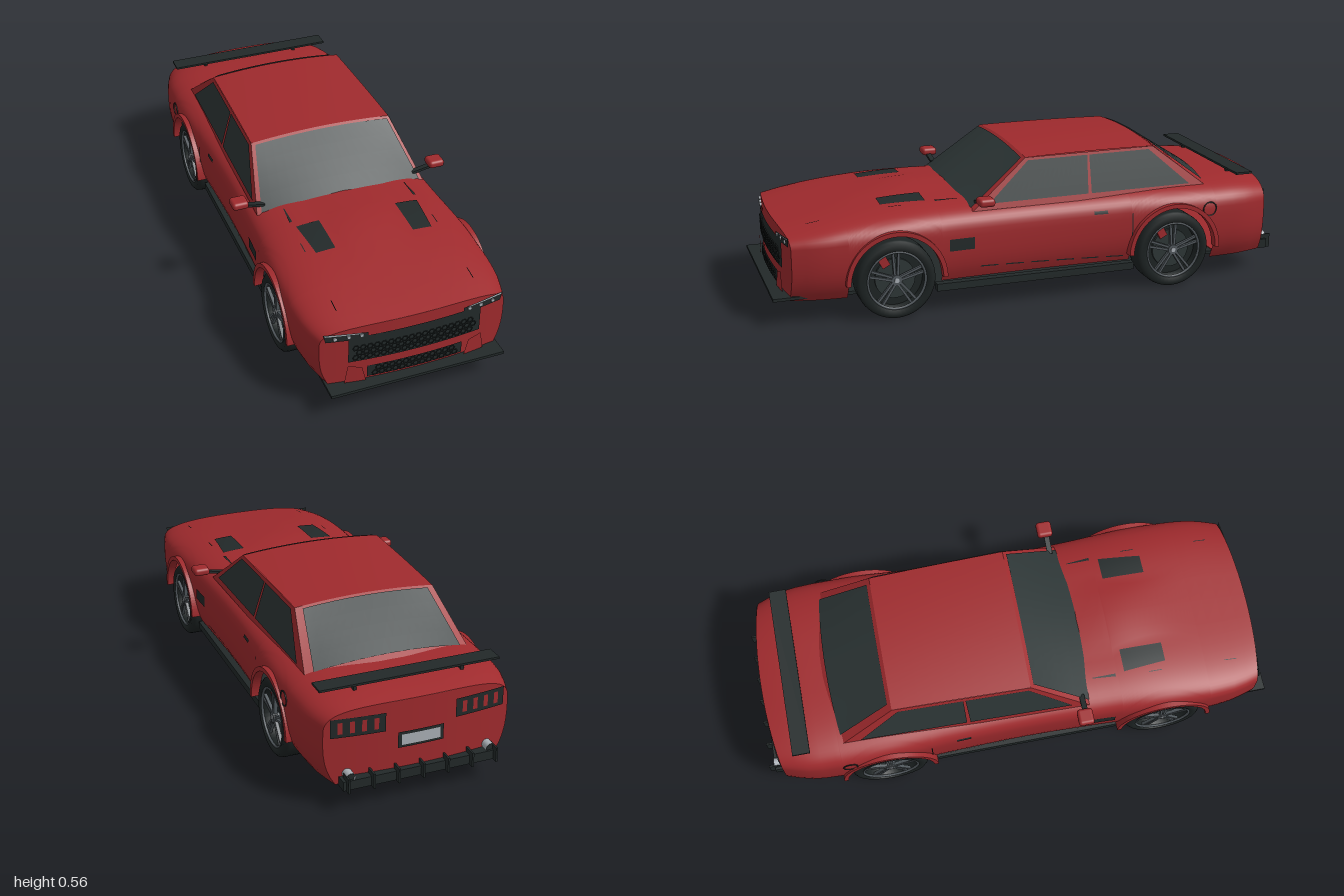
import * as THREE from 'three';
import { RoundedBoxGeometry } from 'three/addons/geometries/RoundedBoxGeometry.js';

const mat = (name, color) => Object.assign(new THREE.MeshStandardMaterial({ color, side: THREE.DoubleSide }), { name });
const red = mat('body red', 0x9f2a2d), glass = mat('dark glass', 0x2d3636), trim = mat('black trim', 0x222929),
  rubber = mat('tyre rubber', 0x1d2323), alloy = mat('grey alloy', 0x51585d), silver = mat('silver', 0xaab0b6);

const { lerp, clamp } = THREE.MathUtils;
const WHEELS = [0.56, -0.53], AXLE = 0.147, ARCH = 0.172, N = 3.5, MID = 0.27;

// smooth curve through [z, value] pairs
function curve(pairs) {
  const c = new THREE.CubicInterpolant(pairs.map(p => p[0]), pairs.map(p => p[1]), 1);
  return z => c.evaluate(clamp(z, -0.96, 0.96))[0];
}
const width = curve([[-0.96, 0.345], [-0.85, 0.375], [-0.6, 0.385], [-0.3, 0.37], [0, 0.363], [0.3, 0.37], [0.6, 0.384], [0.85, 0.372], [0.96, 0.345]]);
const crest = curve([[-0.96, 0.375], [-0.88, 0.39], [-0.7, 0.4], [0, 0.4], [0.25, 0.4], [0.48, 0.4], [0.65, 0.388], [0.85, 0.362], [0.96, 0.345]]);

// body surface rules: half width at a height, height at an x, rounded ends, lower edge
function sideX(y, z) {
  const w = width(z);
  if (y < MID) return w * (1 - 0.12 * ((MID - y) / 0.18) ** 3);
  return w * (1 - Math.min(1, (y - MID) / (crest(z) - MID)) ** N) ** (1 / N);
}
const bulge = (x, z) => 0.013 * Math.exp(-((x / 0.1) ** 4)) * Math.exp(-(((z - 0.42) / 0.18) ** 2));
const topY = (x, z) => MID + (crest(z) - MID) * (1 - Math.min(1, Math.abs(x) / width(z)) ** N) ** (1 / N) + bulge(x, z);
const bendZ = (x, z) => z - Math.sign(z) * 0.03 * (x / 0.35) ** 2 * clamp((Math.abs(z) - 0.8) / 0.16, 0, 1);
function lowerY(z) {
  for (const c of WHEELS) if (Math.abs(z - c) <= ARCH + 1e-6) return AXLE + Math.sqrt(Math.max(0, ARCH ** 2 - (z - c) ** 2));
  return z < 0.5 && z > -0.5 ? 0.118 : 0.088;
}
function halfSection(z) {
  const yb = lowerY(z), T = crest(z), yM = yb + 0.6 * (T - yb), pts = [];
  for (let i = 0; i < 7; i++) { const y = lerp(yb, yM, i / 6); pts.push([sideX(y, z), y]); }
  const a0 = Math.asin(Math.max(0, (yM - MID) / (T - MID)) ** (N / 2));
  for (let i = 1; i <= 16; i++) {
    const a = lerp(a0, Math.PI / 2, i / 16), x = width(z) * Math.max(0, Math.cos(a)) ** (2 / N);
    pts.push([x, topY(x, z)]);
  }
  return pts;
}

// grid surface from fn(u, v) -> [x, y, z]
function grid(fn, nu, nv) {
  const pos = [], idx = [];
  for (let j = 0; j <= nv; j++) for (let i = 0; i <= nu; i++) pos.push(...fn(i / nu, j / nv));
  for (let j = 0; j < nv; j++) for (let i = 0; i < nu; i++) {
    const a = j * (nu + 1) + i, b = a + nu + 1;
    idx.push(a, a + 1, b, b, a + 1, b + 1);
  }
  const g = new THREE.BufferGeometry();
  g.setAttribute('position', new THREE.Float32BufferAttribute(pos, 3));
  g.setIndex(idx);
  g.computeVertexNormals();
  return g;
}

export function createModel() {
  const car = new THREE.Group();
  car.name = 'sports coupe';
  const add = (name, geo, m, x = 0, y = 0, z = 0, parent = car) => {
    const mesh = new THREE.Mesh(geo, m);
    mesh.name = name;
    mesh.position.set(x, y, z);
    parent.add(mesh);
    return mesh;
  };
  const box = (name, m, w, h, d, x, y, z, parent) => add(name, new THREE.BoxGeometry(w, h, d), m, x, y, z, parent);
  // thin plates on the nose or tail (four corners), the flank and the bonnet
  const endPlate = (name, m, c, end, off = 0.004) => add(name, grid((u, v) => {
    const x = lerp(lerp(c[0][0], c[1][0], u), lerp(c[3][0], c[2][0], u), v);
    const y = lerp(lerp(c[0][1], c[1][1], u), lerp(c[3][1], c[2][1], u), v);
    return [x, y, bendZ(x, 0.96 * end) + off * end];
  }, 12, 1), m);
  const rect = (x0, x1, y0, y1) => [[x0, y0], [x1, y0], [x1, y1], [x0, y1]];
  const flankPlate = (name, m, s, z0, z1, y0, y1, slope = 0) => add(name, grid((u, v) => {
    const z = lerp(z0, z1, u), y = lerp(y0, y1, v) + slope * u;
    return [s * (sideX(y, z) + 0.003), y, z];
  }, 6, 4), m);
  const bonnetPlate = (name, m, x0, x1, z0, z1, skew = 0) => add(name, grid((u, v) => {
    const z = lerp(z0, z1, v), x = lerp(x0 + skew * v, x1, u);
    return [x, topY(x, z) + 0.003, z];
  }, 4, 8), m);

  // body shell with open wheel arches
  const stations = [];
  for (let i = -16; i <= 16; i++) {
    const z = i * 0.06;
    if (WHEELS.every(c => Math.abs(z - c) > ARCH + 0.01)) stations.push(z);
  }
  for (const c of WHEELS) {
    for (let k = 0; k <= 24; k++) stations.push(c + ARCH * Math.cos(k * Math.PI / 24));
    stations.push(c + ARCH + 0.002, c - ARCH - 0.002);
  }
  stations.sort((a, b) => a - b);
  const rings = stations.map(z => {
    const h = halfSection(z);
    return [...h, ...h.slice(0, -1).reverse().map(([x, y]) => [-x, y])].map(([x, y]) => [x, y, bendZ(x, z)]);
  });
  const nu = rings[0].length - 1, nv = rings.length - 1;
  add('body shell', grid((u, v) => rings[Math.round(v * nv)][Math.round(u * nu)], nu, nv), red);
  for (const end of [1, -1]) {
    const h = halfSection(0.96 * end);
    add(end > 0 ? 'nose' : 'tail', grid((u, v) => {
      const [px, y] = h[Math.round(v * (h.length - 1))], x = px * (2 * u - 1);
      return [x, y, bendZ(x, 0.96 * end)];
    }, 16, h.length - 1), red);
  }
  box('floor', trim, 0.56, 0.012, 1.78, 0, 0.084, 0);
  box('front valance', red, 0.5, 0.022, 0.14, 0, 0.09, 0.87);
  box('rear undertray', red, 0.58, 0.012, 0.18, 0, 0.087, -0.84);

  // cabin surfaces
  const screen = (zb, zt, xb, xt) => (u, v) => {
    const s = 2 * u - 1, k = 1 - s * s;
    return [s * lerp(xb, xt, v), lerp(0.365, 0.537, v) + k * lerp(0.035, 0.015, v), lerp(zb, zt, v) + Math.sign(zb) * k * 0.02 * (1 - v)];
  };
  const front = screen(0.26, 0.04, 0.335, 0.28), rear = screen(-0.7, -0.48, 0.315, 0.268);
  const roof = (u, v) => {
    const s = 2 * u - 1;
    return [s * lerp(0.28, 0.268, v), 0.537 + 0.015 * (1 - s * s) + 0.012 * v * (1 - v), lerp(0.04, -0.48, v)];
  };
  const side = s => (u, v) => [s * lerp(lerp(0.335, 0.315, u), lerp(0.28, 0.268, u), v), lerp(0.365, 0.537, v),
    lerp(lerp(0.26, -0.7, u), lerp(0.04, -0.48, u), v)];
  const pane = (name, fn, u0, u1, v0, v1, off) => add(name, grid((u, v) =>
    fn(lerp(u0, u1, u), lerp(v0, v1, v)).map((c, i) => c + off[i]), 16, 4), glass);
  add('windscreen frame', grid(front, 16, 4), red);
  add('rear window frame', grid(rear, 16, 4), red);
  add('roof', grid(roof, 16, 10), red);
  pane('windscreen', front, 0.025, 0.975, 0.02, 0.96, [0, 0.003, 0.004]);
  pane('rear window', rear, 0.05, 0.95, 0.08, 0.96, [0, 0.003, -0.004]);

  for (const s of [1, -1]) {
    add('cabin side', grid(side(s), 4, 4), red);
    pane('front side window', side(s), 0.04, 0.475, 0.13, 0.94, [s * 0.004, 0.001, 0]);
    pane('rear side window', side(s), 0.49, 0.94, 0.13, 0.94, [s * 0.004, 0.001, 0]);

    // mirror
    add('mirror', new RoundedBoxGeometry(0.062, 0.03, 0.06, 3, 0.012), red, s * 0.394, 0.417, 0.23);
    const arm = box('mirror arm', trim, 0.085, 0.01, 0.02, s * 0.34, 0.4, 0.235);
    arm.rotation.z = s * 0.18;

    // flank details
    flankPlate('side vent', trim, s, 0.36, 0.265, 0.235, 0.28);
    flankPlate('door handle', trim, s, -0.205, -0.26, 0.316, 0.328);
    flankPlate('door seam', trim, s, -0.357, -0.361, 0.15, 0.31);
    for (let i = 0; i < 6; i++) flankPlate('sill seam', trim, s, 0.24 - i * 0.1, 0.17 - i * 0.1, 0.16 - i * 0.004, 0.165 - i * 0.004, -0.003);
    const cap = add('fuel cap ring', new THREE.TorusGeometry(0.027, 0.0025, 6, 24), trim, s * (sideX(0.3, -0.675) + 0.001), 0.3, -0.675);
    cap.rotation.y = Math.PI / 2;
    box('side sill', trim, 0.03, 0.028, 0.78, s * 0.342, 0.094, 0.015);

    // bonnet vents and seams
    bonnetPlate('bonnet vent', trim, s * 0.238, s * 0.15, 0.415, 0.58, -s * 0.015);
    bonnetPlate('bonnet seam', trim, s * 0.257, s * 0.254, 0.51, 0.56);
    bonnetPlate('bonnet rear seam', trim, s * 0.243, s * 0.24, 0.29, 0.38, s * 0.008);
    bonnetPlate('bonnet front seam', trim, s * 0.257, s * 0.254, 0.81, 0.86);

    // headlights and corner ducts
    endPlate('headlight', trim, [[s * 0.325, 0.297], [s * 0.177, 0.29], [s * 0.177, 0.316], [s * 0.333, 0.33]], 1);
    endPlate('headlight strip', silver, [[s * 0.325, 0.323], [s * 0.2, 0.315], [s * 0.2, 0.319], [s * 0.331, 0.329]], 1, 0.006);
    for (const x of [0.2, 0.245, 0.293]) {
      const lamp = add('lamp', new THREE.CylinderGeometry(0.007, 0.007, 0.008, 14), silver, s * x, 0.308, bendZ(x, 0.96) + 0.004);
      lamp.rotation.x = Math.PI / 2;
    }
    endPlate('corner duct', red, [[s * 0.185, 0.11], [s * 0.262, 0.112], [s * 0.25, 0.185], [s * 0.2, 0.172]], 1, 0.012);

    // tail lights and exhaust
    endPlate('tail light', trim, rect(s * 0.13, s * 0.322, 0.268, 0.338), -1);
    for (let i = 0; i < 4; i++) endPlate('tail light bar', red, rect(s * (0.155 + i * 0.042), s * (0.172 + i * 0.042), 0.282, 0.325), -1, 0.006);
    const pipe = add('exhaust', new THREE.CylinderGeometry(0.017, 0.017, 0.06, 20, 1, true), silver, s * 0.262, 0.128, -0.95);
    pipe.rotation.x = Math.PI / 2;
    add('exhaust core', new THREE.CircleGeometry(0.015, 20), trim, s * 0.262, 0.128, -0.972);
    box('spoiler post', trim, 0.012, 0.05, 0.03, s * 0.2, 0.392, -0.845);
  }

  // grilles with hexagonal mesh
  endPlate('upper grille', trim, rect(-0.246, 0.246, 0.195, 0.302), 1);
  endPlate('lower grille', trim, rect(-0.178, 0.178, 0.118, 0.165), 1);
  const hex = new THREE.TorusGeometry(0.0105, 0.0025, 4, 6);
  const mesh = (rows, y0, half) => {
    for (let r = 0; r < rows; r++) for (let x = -half + (r % 2) * 0.0125; x <= half; x += 0.025)
      add('grille cell', hex, rubber, x, y0 + r * 0.021, bendZ(x, 0.96) + 0.006);
  };
  mesh(3, 0.213, 0.22);
  mesh(2, 0.131, 0.15);

  // front splitter, diffuser, number plate and spoiler
  box('front splitter', trim, 0.65, 0.011, 0.13, 0, 0.103, 0.935);
  box('diffuser', trim, 0.58, 0.035, 0.06, 0, 0.1, -0.95);
  for (let i = -3; i <= 3; i++) box('diffuser fin', trim, 0.007, 0.055, 0.05, i * 0.092, 0.108, -0.975);
  endPlate('plate frame', trim, rect(-0.085, 0.085, 0.195, 0.255), -1);
  endPlate('number plate', silver, rect(-0.072, 0.072, 0.205, 0.245), -1, 0.006);
  box('spoiler', trim, 0.67, 0.008, 0.066, 0, 0.414, -0.842);

  // wheels: axis along x, outer face at +x, mirrored by a half turn
  const tyre = new THREE.LatheGeometry([[0.106, -0.05], [0.134, -0.052], [0.145, -0.042], [0.147, -0.03], [0.147, 0.03],
    [0.145, 0.042], [0.134, 0.052], [0.106, 0.05], [0.104, 0], [0.106, -0.05]].map(p => new THREE.Vector2(...p)), 48).rotateZ(-Math.PI / 2);
  const disc = (r, h) => new THREE.CylinderGeometry(r, r, h, 36).rotateZ(Math.PI / 2);
  for (const z of WHEELS) for (const s of [1, -1]) {
    const wheel = new THREE.Group();
    wheel.name = 'wheel';
    wheel.position.set(s * 0.328, AXLE, z);
    if (s < 0) wheel.rotation.y = Math.PI;
    car.add(wheel);
    add('tyre', tyre, rubber, 0, 0, 0, wheel);
    add('wheel back', disc(0.106, 0.02), rubber, 0, 0, 0, wheel);
    add('brake disc', disc(0.075, 0.01), glass, 0.016, 0, 0, wheel);
    add('rim', new THREE.TorusGeometry(0.107, 0.005, 8, 48).rotateY(Math.PI / 2), alloy, 0.047, 0, 0, wheel);
    add('hub', disc(0.02, 0.024), alloy, 0.036, 0, 0, wheel);
    add('hub cap', disc(0.009, 0.028), silver, 0.036, 0, 0, wheel);
    for (let i = 0; i < 5; i++) {
      const spoke = new THREE.Group();
      spoke.name = 'spoke';
      spoke.rotation.x = i * Math.PI * 0.4;
      wheel.add(spoke);
      for (const d of [-1, 1]) box('spoke blade', alloy, 0.012, 0.094, 0.009, 0.038, 0.059, d * 0.008, spoke).rotation.x = d * 0.06;
    }
    box('brake caliper', red, 0.014, 0.045, 0.032, 0.024, 0.07, s * 0.043, wheel).rotation.x = s * 0.5;

    // flared arch lip
    const ring = new THREE.Shape().absarc(0, 0, 0.187, 0, Math.PI, false);
    ring.absarc(0, 0, ARCH - 0.002, Math.PI, 0, true);
    const lip = new THREE.ExtrudeGeometry(ring, { depth: 0.034, bevelEnabled: false, curveSegments: 24 });
    add('arch lip', lip.rotateY(Math.PI / 2), red, s > 0 ? 0.36 : -0.394, AXLE, z);
  }
  return car;
}
